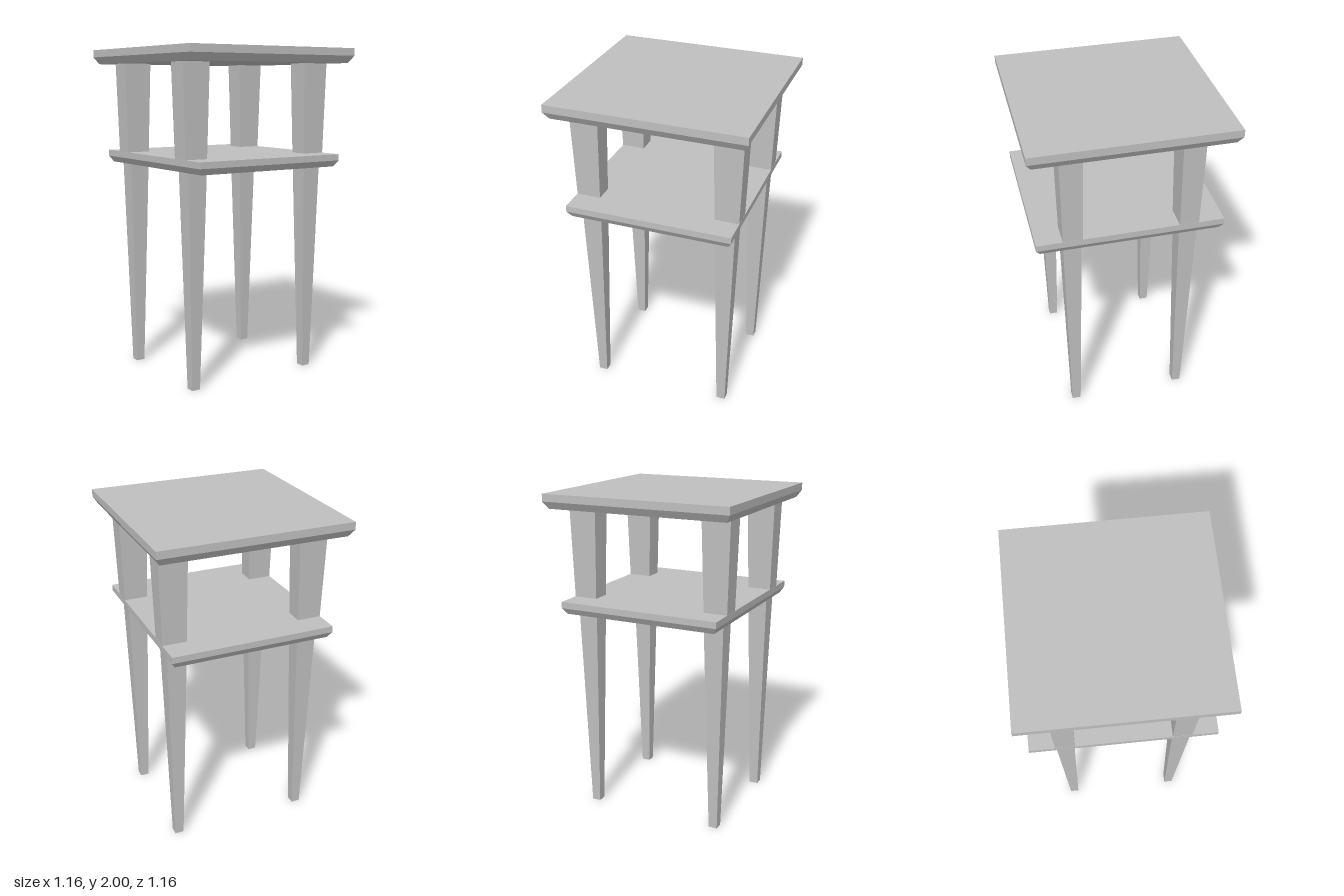
import * as THREE from 'three';

// Lofts a solid through rectangular cross-sections [y, x0, x1, z0, z1], bottom to top
function loft(sections) {
  const rings = sections.map(([y, x0, x1, z0, z1]) => [
    [x0, y, z1], [x1, y, z1], [x1, y, z0], [x0, y, z0],
  ]);
  const positions = [];
  const quad = (a, b, c, d) => positions.push(...a, ...b, ...c, ...a, ...c, ...d);
  for (let i = 0; i < rings.length - 1; i++) {
    const low = rings[i], high = rings[i + 1];
    for (let k = 0; k < 4; k++) {
      const n = (k + 1) % 4;
      quad(low[k], low[n], high[n], high[k]);
    }
  }
  const first = rings[0], last = rings[rings.length - 1];
  quad(first[3], first[2], first[1], first[0]);
  quad(...last);
  const geometry = new THREE.BufferGeometry();
  geometry.setAttribute('position', new THREE.Float32BufferAttribute(positions, 3));
  geometry.computeVertexNormals();
  return geometry;
}

// Board with its lower edge chamfered all round
function board(halfX, halfZ, bottom, chamferTop, top, inset) {
  const section = (y, d) => [y, -halfX + d, halfX - d, -halfZ + d, halfZ - d];
  return loft([section(bottom, inset), section(chamferTop, 0), section(top, 0)]);
}

export function createModel() {
  const group = new THREE.Group();
  const grey = new THREE.MeshStandardMaterial({ color: 0xbfbfbf });
  grey.name = 'light grey';

  const add = (name, geometry) => {
    const mesh = new THREE.Mesh(geometry, grey);
    mesh.name = name;
    group.add(mesh);
  };

  add('tableTop', board(0.582, 0.582, 1.912, 1.955, 2, 0.027));
  add('shelf', board(0.5, 0.55, 1.29, 1.327, 1.365, 0.023));

  // Tapered legs, stepping outward slightly where they pass the shelf:
  // [y, inner x, outer x, inner z, outer z]
  const profile = [
    [0, 0.388, 0.442, 0.314, 0.367],
    [1.29, 0.354, 0.476, 0.287, 0.394],
    [1.365, 0.354, 0.499, 0.283, 0.397],
    [1.912, 0.34, 0.515, 0.274, 0.405],
  ];
  for (const [side, sx] of [['Left', 1], ['Right', -1]]) {
    for (const [end, sz] of [['front', 1], ['back', -1]]) {
      const span = (a, b, s) => (s > 0 ? [a, b] : [-b, -a]);
      add(`${end}${side}Leg`, loft(profile.map(([y, xi, xo, zi, zo]) =>
        [y, ...span(xi, xo, sx), ...span(zi, zo, sz)])));
    }
  }
  return group;
}
